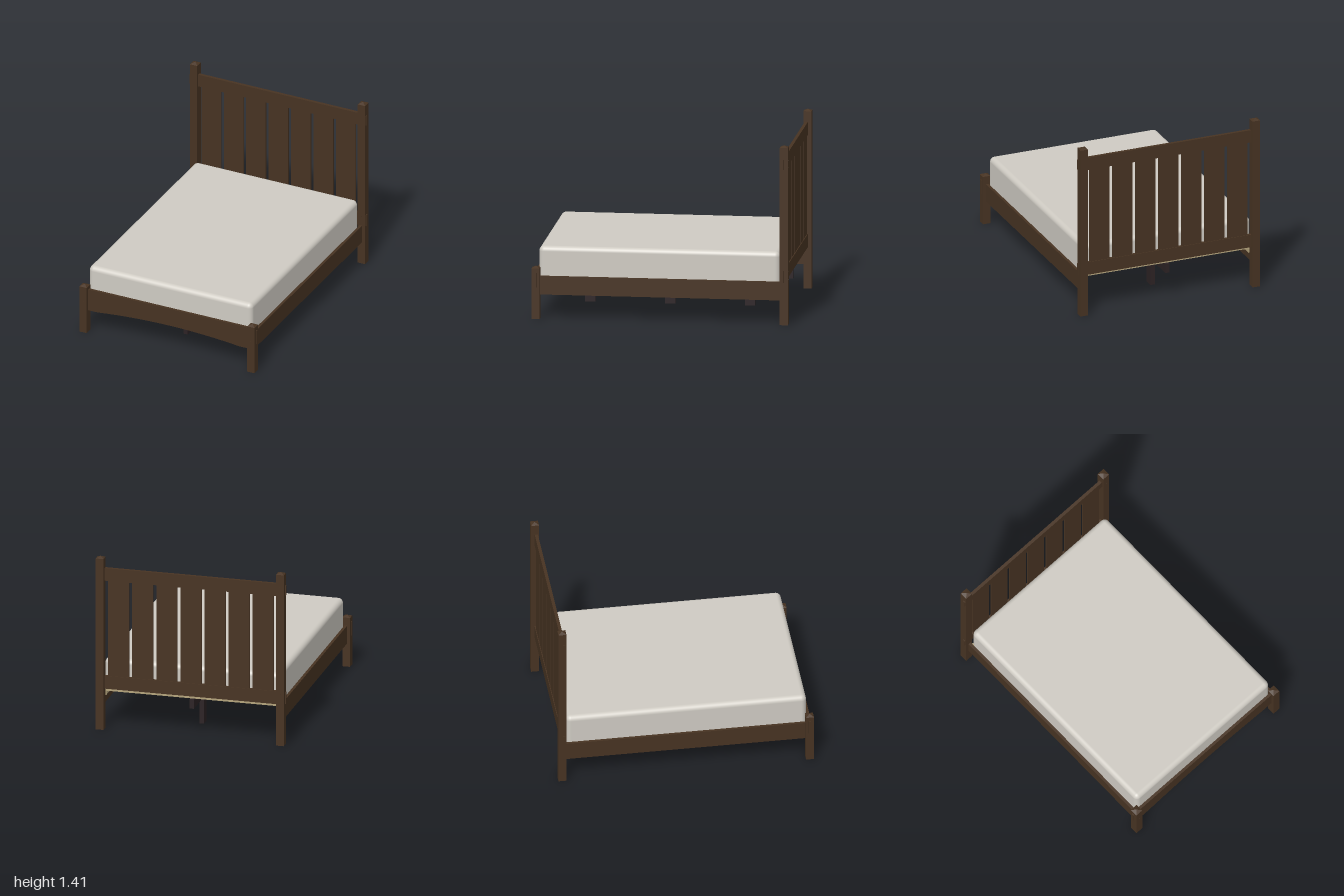
import * as THREE from 'three';
import { RoundedBoxGeometry } from 'three/addons/geometries/RoundedBoxGeometry.js';

const material = (name, color, extra = {}) => {
  const m = new THREE.MeshStandardMaterial({ color, ...extra });
  m.name = name;
  return m;
};

export function createModel() {
  const bed = new THREE.Group();
  bed.name = 'bed';
  const walnut = material('walnut', 0x473322);
  const ebony = material('dark support wood', 0x2c2224);
  const pine = material('pine', 0xb5a47c);
  const linen = material('mattress fabric', 0xcfcbc3);

  const add = (name, geometry, mat, parent = bed) => {
    const mesh = new THREE.Mesh(geometry, mat);
    mesh.name = name;
    parent.add(mesh);
    return mesh;
  };
  // Box given by its limits on each axis
  const box = (name, [x0, x1], [y0, y1], [z0, z1], mat, parent) => {
    const mesh = add(name, new THREE.BoxGeometry(x1 - x0, y1 - y0, z1 - z0), mat, parent);
    mesh.position.set((x0 + x1) / 2, (y0 + y1) / 2, (z0 + z1) / 2);
    return mesh;
  };
  // Flat board cut from a shape in the xy plane
  const board = (name, shape, z, depth, parent) => {
    const geometry = new THREE.ExtrudeGeometry(shape, { depth, bevelEnabled: false, curveSegments: 20 });
    add(name, geometry, walnut, parent).position.z = z;
  };

  // Corner post with a low pyramid cap, through tenons and pegs
  const postHalf = 0.0315;
  const post = (name, x, z, height, tenons, tenonZ) => {
    const group = new THREE.Group();
    group.name = name;
    bed.add(group);
    box('postShaft', [x - postHalf, x + postHalf], [0, height], [z - postHalf, z + postHalf], walnut, group);
    const capGeometry = new THREE.CylinderGeometry(0, postHalf * Math.SQRT2, 0.015, 4, 1, true)
      .rotateY(Math.PI / 4).toNonIndexed();
    capGeometry.computeVertexNormals();
    add('postCap', capGeometry, walnut, group).position.set(x, height + 0.0075, z);
    const side = Math.sign(x);
    for (const [y0, y1] of tenons) {
      const outer = x + side * (postHalf + 0.003);
      box('tenon', [outer - 0.004, outer + 0.004], [y0, y1], [tenonZ - 0.009, tenonZ + 0.009], walnut, group);
      for (const y of [y0 + 0.018, y1 - 0.012]) {
        const peg = add('peg', new THREE.CylinderGeometry(0.004, 0.004, 0.064, 8), walnut, group);
        peg.rotation.x = Math.PI / 2;
        peg.position.set(x, y, z);
      }
    }
  };
  for (const [label, s] of [['left', 1], ['right', -1]]) {
    post(label + 'HeadPost', s * 0.7235, -0.9685, 1.4, [[0.335, 0.43], [1.225, 1.305]], -0.956);
    post(label + 'FootPost', s * 0.7235, 0.9685, 0.4, [[0.25, 0.365]], 0.967);
    // Side rail and the ledge that carries the slats
    const span = (a, b) => (s > 0 ? [a, b] : [-b, -a]);
    box(label + 'SideRail', span(0.709, 0.731), [0.19, 0.335], [-0.94, 0.94], walnut);
    box(label + 'SlatLedge', span(0.689, 0.709), [0.265, 0.295], [-0.93, 0.93], pine);
  }

  // Headboard: top rail with eased corners, bottom rail and seven upright slats
  const headboard = new THREE.Group();
  headboard.name = 'headboard';
  bed.add(headboard);
  const w = 0.694, r = 0.012;
  const topRail = new THREE.Shape();
  topRail.moveTo(-w, 1.215);
  topRail.lineTo(w, 1.215);
  topRail.lineTo(w, 1.318 - r);
  topRail.quadraticCurveTo(w, 1.318, w - r, 1.318);
  topRail.lineTo(-w + r, 1.318);
  topRail.quadraticCurveTo(-w, 1.318, -w, 1.318 - r);
  topRail.closePath();
  board('topRail', topRail, -0.973, 0.025, headboard);
  box('bottomRail', [-w, w], [0.33, 0.435], [-0.973, -0.948], walnut, headboard);
  for (let i = -3; i <= 3; i++) {
    const x = i * 0.1935;
    box('headboardSlat', [x - 0.084, x + 0.084], [0.42, 1.23], [-0.967, -0.954], walnut, headboard);
  }

  // Footboard with an arched lower edge
  const foot = new THREE.Shape();
  foot.moveTo(-w, 0.375);
  foot.lineTo(-w, 0.192);
  foot.lineTo(-0.61, 0.192);
  foot.quadraticCurveTo(0, 0.262, 0.61, 0.192);
  foot.lineTo(w, 0.192);
  foot.lineTo(w, 0.375);
  foot.closePath();
  board('footboard', foot, 0.954, 0.022, bed);

  // Centre beam on three legs
  box('centreBeam', [-0.018, 0.018], [0.22, 0.295], [-0.945, 0.954], ebony);
  for (const z of [0.635, 0.012, -0.61]) {
    box('centreLeg', [-0.018, 0.018], [0, 0.22], [z - 0.04, z + 0.04], ebony);
  }

  // Bed slats
  const slatCount = 15;
  for (let i = 0; i < slatCount; i++) {
    const z = -0.875 + (i * 1.75) / (slatCount - 1);
    box('bedSlat', [-0.707, 0.707], [0.295, 0.315], [z - 0.044, z + 0.044], pine);
  }

  // Mattress: rounded above, flat below
  const mattressGeometry = new RoundedBoxGeometry(1.408, 0.35, 1.88, 5, 0.04);
  const p = mattressGeometry.attributes.position;
  for (let i = 0; i < p.count; i++) p.setY(i, Math.max(p.getY(i), -0.075));
  add('mattress', mattressGeometry, linen).position.set(0, 0.39, 0.009);

  return bed;
}
